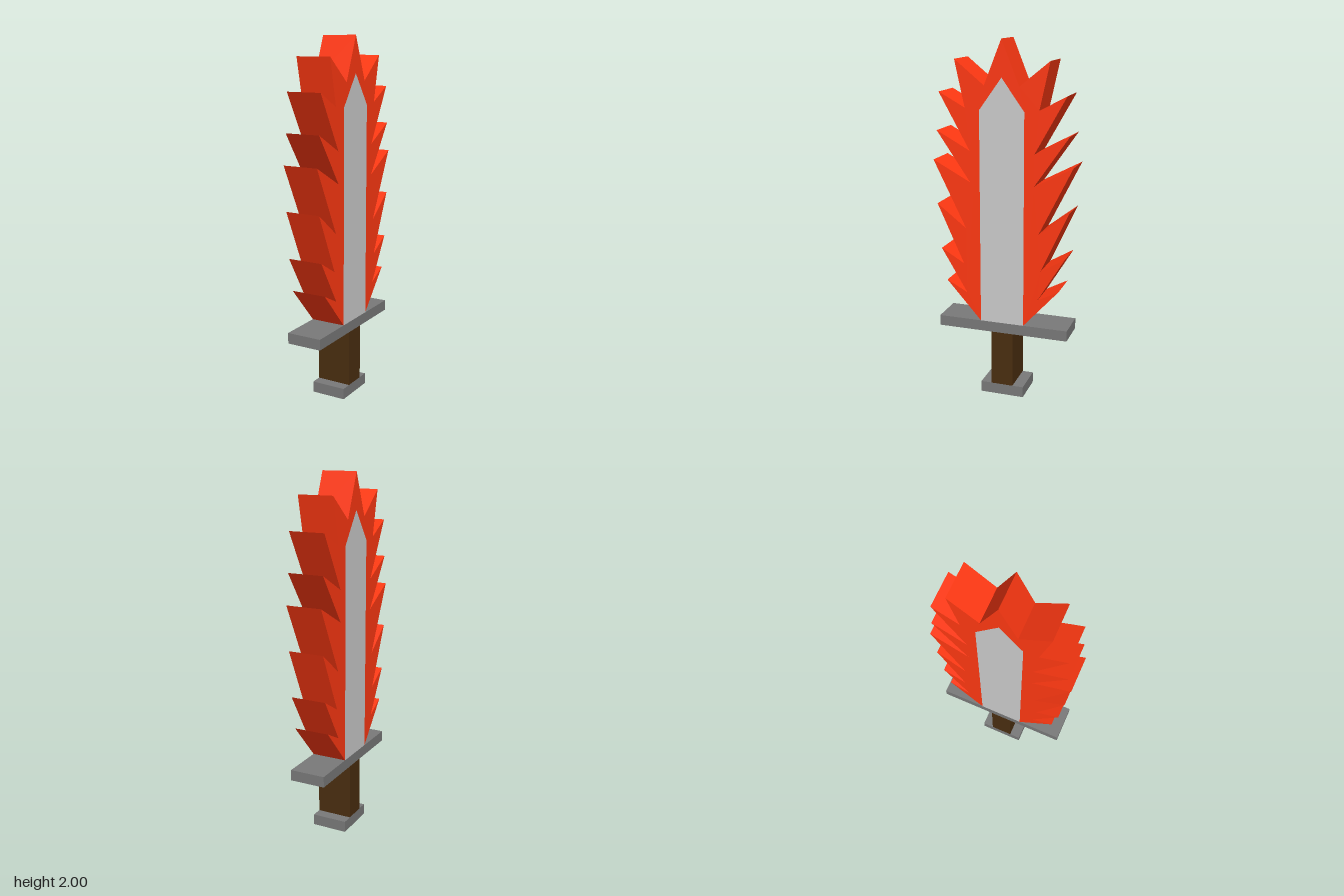
import * as THREE from 'three';

const THICK = 0.2;

export function createModel() {
  const sword = new THREE.Group();
  sword.name = 'flamingSword';

  const mat = (color) => new THREE.MeshStandardMaterial({ color, flatShading: true });
  const flameMat = mat(0xff3812), steelMat = mat(0xc0c0c0);
  const ironMat = mat(0x797979), woodMat = mat(0x4a2e10);

  const add = (name, geometry, material) => {
    const mesh = new THREE.Mesh(geometry, material);
    mesh.name = name;
    sword.add(mesh);
  };

  // Plate cut from a (z, y) outline, centred across x
  const plate = (points) => {
    const shape = new THREE.Shape(points.map(([z, y]) => new THREE.Vector2(z, y)));
    return new THREE.ExtrudeGeometry(shape, { depth: THICK, bevelEnabled: false })
      .translate(0, 0, -THICK / 2).rotateY(-Math.PI / 2);
  };

  // Box spanning y0..y1 with the given length along z
  const bar = (length, y0, y1) =>
    new THREE.BoxGeometry(THICK, y1 - y0, length).translate(0, (y0 + y1) / 2, 0);

  const mirror = (points) => points.map(([z, y]) => [-z, y]).reverse();

  // Hilt
  add('pommel', bar(0.25, 0, 0.062), ironMat);
  add('grip', bar(0.125, 0.062, 0.38), woodMat);
  add('crossguard', bar(0.75, 0.38, 0.44), ironMat);

  // Blade core
  const bladeSide = [[0.125, 0.44], [0.125, 1.63]];
  const bladeTip = [0, 1.803];
  add('blade', plate([...bladeSide, bladeTip, ...mirror(bladeSide)]), steelMat);

  // Flames: alternating tips and notches up one side, mirrored, wrapped round the blade
  const flameSide = [
    [0.125, 0.44],
    [0.325, 0.663], [0.205, 0.6],
    [0.355, 0.848], [0.222, 0.77],
    [0.375, 1.105], [0.207, 0.975],
    [0.393, 1.35], [0.18, 1.237],
    [0.37, 1.512], [0.181, 1.41],
    [0.354, 1.72], [0.206, 1.64],
    [0.262, 1.893], [0.097, 1.76],
  ];
  const inner = [[-0.125, 1.63], bladeTip, [0.125, 1.63]];
  add('flames', plate([...flameSide, [0, 2], ...mirror(flameSide), ...inner]), flameMat);

  return sword;
}
